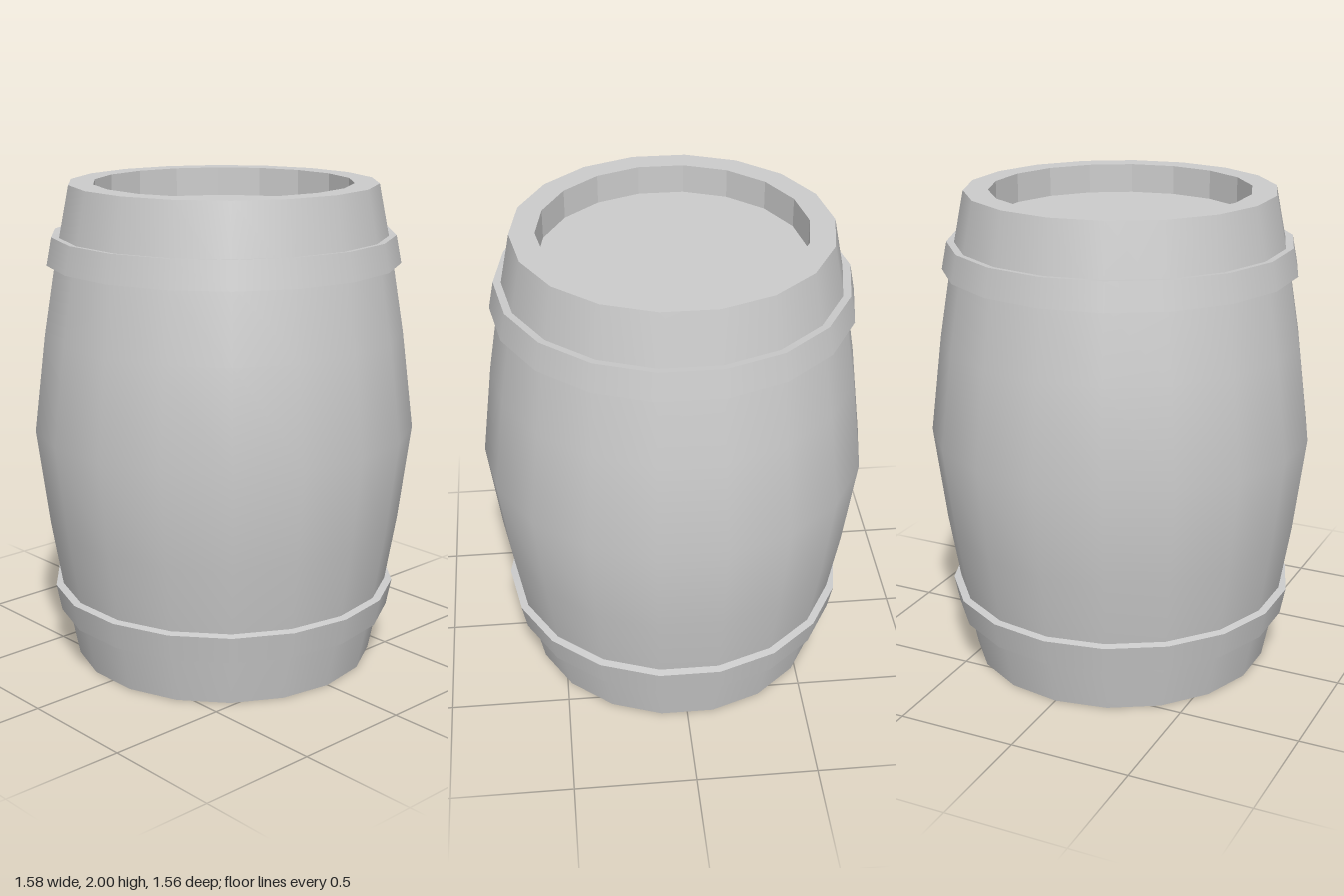
import * as THREE from 'three';
import { mergeGeometries } from 'three/addons/utils/BufferGeometryUtils.js';

const SIDES = 18;

// Revolve [radius, y] points, with a corner of the polygon on the x axis
function lathe(points) {
  return new THREE.LatheGeometry(points.map(([r, y]) => new THREE.Vector2(r, y)), SIDES, Math.PI / 2);
}

// Revolve each profile segment on its own, so the edges between them stay sharp
function sharpLathe(points) {
  return mergeGeometries(points.slice(1).map((p, i) => lathe([points[i], p])));
}

export function createModel() {
  const barrel = new THREE.Group();
  barrel.name = 'barrel';
  const smooth = new THREE.MeshStandardMaterial({ color: 0xcccccc });
  const flat = new THREE.MeshStandardMaterial({ color: 0xcccccc, flatShading: true });

  const add = (name, geometry, material) => {
    const mesh = new THREE.Mesh(geometry, material);
    mesh.name = name;
    barrel.add(mesh);
  };
  // Mirror a profile top to bottom, reversed so it still faces outward
  const mirror = (points) => points.map(([r, y]) => [r, 2 - y]).reverse();

  // Bulging staves
  const upper = [[0.79, 1], [0.74, 1.4], [0.69, 1.7], [0.63, 2]];
  add('staves', lathe([...mirror(upper).slice(0, -1), ...upper]), smooth);

  // Rim, recess wall and sunken head at each end
  const head = [[0.63, 2], [0.53, 2], [0.53, 1.88], [0, 1.88]];
  add('topHead', sharpLathe(head), flat);
  add('bottomHead', sharpLathe(mirror(head)), flat);

  // Hoops, tapered with the staves
  const hoop = [[0.685, 1.675], [0.725, 1.682], [0.703, 1.795], [0.66, 1.79]];
  add('topHoop', sharpLathe(hoop), smooth);
  add('bottomHoop', sharpLathe(mirror(hoop)), smooth);

  return barrel;
}
